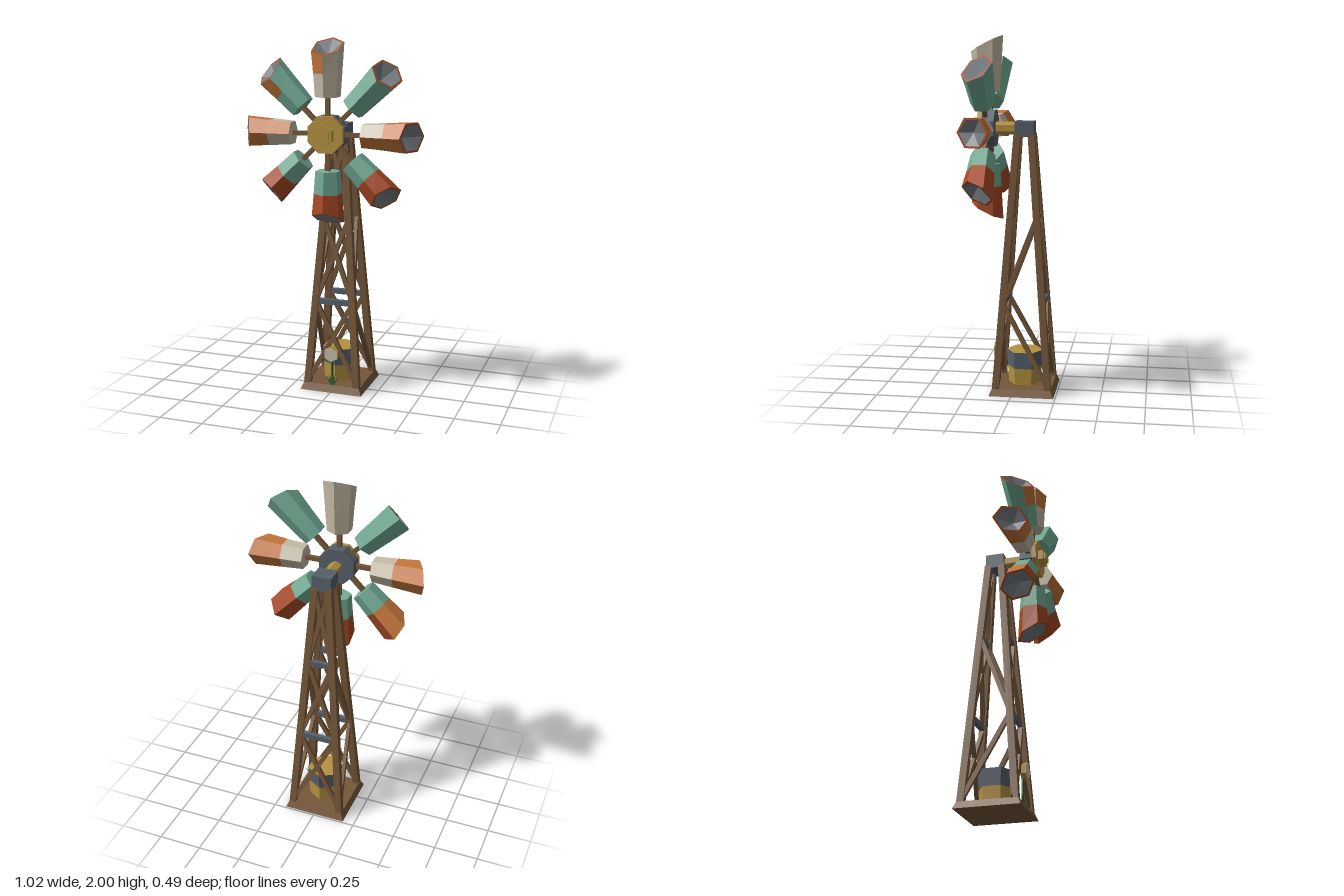
import * as THREE from 'three';

const mat = (name, color) => Object.assign(new THREE.MeshStandardMaterial({ color, flatShading: true }), { name });

export function createModel() {
  const M = {
    wood: mat('wood', 0x76583a), gold: mat('gold', 0xb5923f),
    slate: mat('slate', 0x566069), grey: mat('cup interior grey', 0x747b80),
    teal: mat('teal', 0x74ad96), cream: mat('cream', 0xc6bca6),
    orange: mat('orange', 0xc4763a), rust: mat('rust', 0xa84a24),
    green: mat('leaf green', 0x35602f),
  };
  const model = new THREE.Group();
  model.name = 'windPump';
  const CZ = -0.058; // tower centre line

  const add = (parent, name, geo, m, x = 0, y = 0, z = 0) => {
    const mesh = new THREE.Mesh(geo, m);
    mesh.name = name;
    mesh.position.set(x, y, z);
    parent.add(mesh);
    return mesh;
  };
  const V = (x, y, z) => new THREE.Vector3(x, y, z);
  // square bar between two points
  const beam = (parent, name, a, b, w, d, m) => {
    const dir = b.clone().sub(a);
    const mesh = add(parent, name, new THREE.BoxGeometry(w, dir.length(), d), m);
    mesh.position.copy(a).add(b).multiplyScalar(0.5);
    mesh.quaternion.setFromUnitVectors(V(0, 1, 0), dir.normalize());
    return mesh;
  };

  // Tower
  const tower = new THREE.Group();
  tower.name = 'tower';
  tower.position.z = CZ;
  model.add(tower);
  const base = new THREE.CylinderGeometry(0.165 * Math.SQRT2, 0.182 * Math.SQRT2, 0.04, 4).rotateY(Math.PI / 4);
  add(tower, 'basePlate', base, M.wood, 0, 0.02, 0);
  add(tower, 'towerCap', new THREE.BoxGeometry(0.11, 0.085, 0.105), M.slate, 0, 1.488, 0);

  const half = (y) => 0.147 - 0.108 * (y - 0.03) / 1.43; // leg offset at a height
  for (const sx of [-1, 1]) for (const sz of [-1, 1]) {
    beam(tower, 'leg', V(sx * half(0.03), 0.03, sz * half(0.03)), V(sx * half(1.46), 1.46, sz * half(1.46)), 0.038, 0.038, M.wood);
  }
  const levels = [0.05, 0.52, 1.0, 1.44];
  for (const s of [-1, 1]) {
    // crossed braces on front and back
    for (let i = 0; i < 3; i++) for (const d of [-1, 1]) {
      const h0 = half(levels[i]), h1 = half(levels[i + 1]);
      beam(tower, 'crossBrace', V(-d * h0, levels[i], s * h0), V(d * h1, levels[i + 1], s * h1), 0.025, 0.02, M.wood);
    }
    // zigzag braces on the sides
    for (let i = 0; i < 2; i++) {
      const h0 = half(levels[i]), h1 = half(levels[i + 1]), d = i ? 1 : -1;
      beam(tower, 'sideBrace', V(s * h0, levels[i], d * h0), V(s * h1, levels[i + 1], -d * h1), 0.02, 0.025, M.wood);
    }
    // metal crossbars
    for (const y of [0.52, 1.0]) {
      add(tower, 'crossBar', new THREE.BoxGeometry(half(y) * 2, 0.03, 0.025), M.slate, 0, y, s * half(y));
    }
  }

  // Pump tank standing on the base
  add(tower, 'tankBody', new THREE.CylinderGeometry(0.098, 0.092, 0.095, 6), M.gold, 0, 0.0875, 0);
  add(tower, 'tankBand', new THREE.CylinderGeometry(0.104, 0.098, 0.095, 6, 1, true), M.slate, 0, 0.1825, 0);
  add(tower, 'tankLid', new THREE.CircleGeometry(0.104, 6).rotateZ(Math.PI / 2).rotateX(-Math.PI / 2), M.gold, 0, 0.23, 0);

  // Flower in front of the tank, with leaves
  const flower = new THREE.Group();
  flower.name = 'flower';
  flower.position.set(0, 0, 0.09);
  model.add(flower);
  add(flower, 'flowerStem', new THREE.CylinderGeometry(0.007, 0.008, 0.17, 5), M.green, 0, 0.12, -0.002);
  add(flower, 'flowerHead', new THREE.CylinderGeometry(0.045, 0.045, 0.022, 6).rotateX(Math.PI / 2), M.gold, 0, 0.225, 0.011);
  add(flower, 'flowerFace', new THREE.CylinderGeometry(0.043, 0.043, 0.004, 6).rotateX(Math.PI / 2), M.cream, 0, 0.225, 0.024);
  for (const a of [-0.65, -0.3, 0.3, 0.65]) {
    const leaf = new THREE.ConeGeometry(0.009, 0.07, 4).translate(0, 0.035, 0).rotateZ(a);
    add(flower, 'leaf', leaf, M.green, 0, 0.035, 0);
  }
  for (const s of [-1, 1]) for (const a of [-0.9, -0.2, 0.5]) {
    const blade = new THREE.ConeGeometry(0.007, 0.035, 4).translate(0, 0.0175, 0).rotateZ(s * a);
    add(model, 'grassTuft', blade, M.green, s * 0.158, 0.035, 0.075);
  }

  // Wheel: shaft, hub, nut, spokes and cups
  add(model, 'shaft', new THREE.CylinderGeometry(0.036, 0.036, 0.13, 6).rotateX(Math.PI / 2), M.gold, 0, 1.49, 0.045);
  const wheel = new THREE.Group();
  wheel.name = 'wheel';
  wheel.position.set(0, 1.49, 0.155);
  model.add(wheel);
  const disc = (name, r, depth, sides, m, z, turn) =>
    add(wheel, name, new THREE.CylinderGeometry(r, r, depth, sides).rotateX(Math.PI / 2).rotateZ(turn), m, 0, 0, z);
  disc('hubBack', 0.108, 0.07, 8, M.slate, -0.015, Math.PI / 8);
  disc('hubFront', 0.108, 0.025, 8, M.gold, 0.0325, Math.PI / 8);
  disc('hubNut', 0.056, 0.03, 6, M.gold, 0.06, 0);
  disc('hubBolt', 0.038, 0.012, 6, M.gold, 0.08, 0);

  // triangles from corner lists, one flat face each
  const faces = (polys) => {
    const p = [];
    for (const q of polys) for (let i = 1; i < q.length - 1; i++) {
      for (const v of [q[0], q[i], q[i + 1]]) p.push(v.x, v.y, v.z);
    }
    const g = new THREE.BufferGeometry();
    g.setAttribute('position', new THREE.Float32BufferAttribute(p, 3));
    g.computeVertexNormals();
    return g;
  };
  // six corners; slope cuts the ring at a slant
  const ring = (r, y, slope = 0) => Array.from({ length: 6 }, (_, k) => {
    const a = k * Math.PI / 3, z = r * Math.cos(a);
    return V(r * Math.sin(a), y - slope * z, z);
  });
  const R0 = ring(0.07, 0.2), R1 = ring(0.079, 0.325), R2 = ring(0.09, 0.465, 0.5), R3 = ring(0.078, 0.465, 0.5);
  const apex = V(0, 0.415, 0);

  const cup = (inner, outer, patches) => {
    const g = new THREE.Group();
    g.name = 'cup';
    const byColour = {};
    const put = (c, q) => (byColour[c] ??= []).push(q);
    for (let k = 0; k < 6; k++) {
      const n = (k + 1) % 6, patch = patches[k] ?? [inner, outer];
      put(patch[0], [R0[k], R0[n], R1[n], R1[k]]);
      put(patch[1], [R1[k], R1[n], R2[n], R2[k]]);
      put('rust', [R2[k], R2[n], R3[n], R3[k]]);
      put('grey', [R3[k], R3[n], apex]);
    }
    put(inner, [...R0].reverse());
    for (const c in byColour) add(g, 'cup ' + c, faces(byColour[c]), M[c]);
    add(g, 'spoke', new THREE.BoxGeometry(0.024, 0.14, 0.024), M.wood, 0, 0.145, 0);
    return g;
  };

  const full = { 0: ['orange', 'orange'] };
  const cups = [
    ['cream', 'orange', full],
    ['teal', 'teal', {}],
    ['cream', 'cream', { 5: ['cream', 'orange'] }],
    ['teal', 'teal', { 5: ['teal', 'orange'] }],
    ['cream', 'orange', full],
    ['teal', 'rust', { 1: ['teal', 'orange'], 2: ['teal', 'orange'] }],
    ['teal', 'rust', {}],
    ['teal', 'rust', {}],
  ];
  cups.forEach(([inner, outer, patches], i) => {
    const g = cup(inner, outer, patches);
    g.rotation.z = (i - 2) * Math.PI / 4;
    wheel.add(g);
  });
  return model;
}
